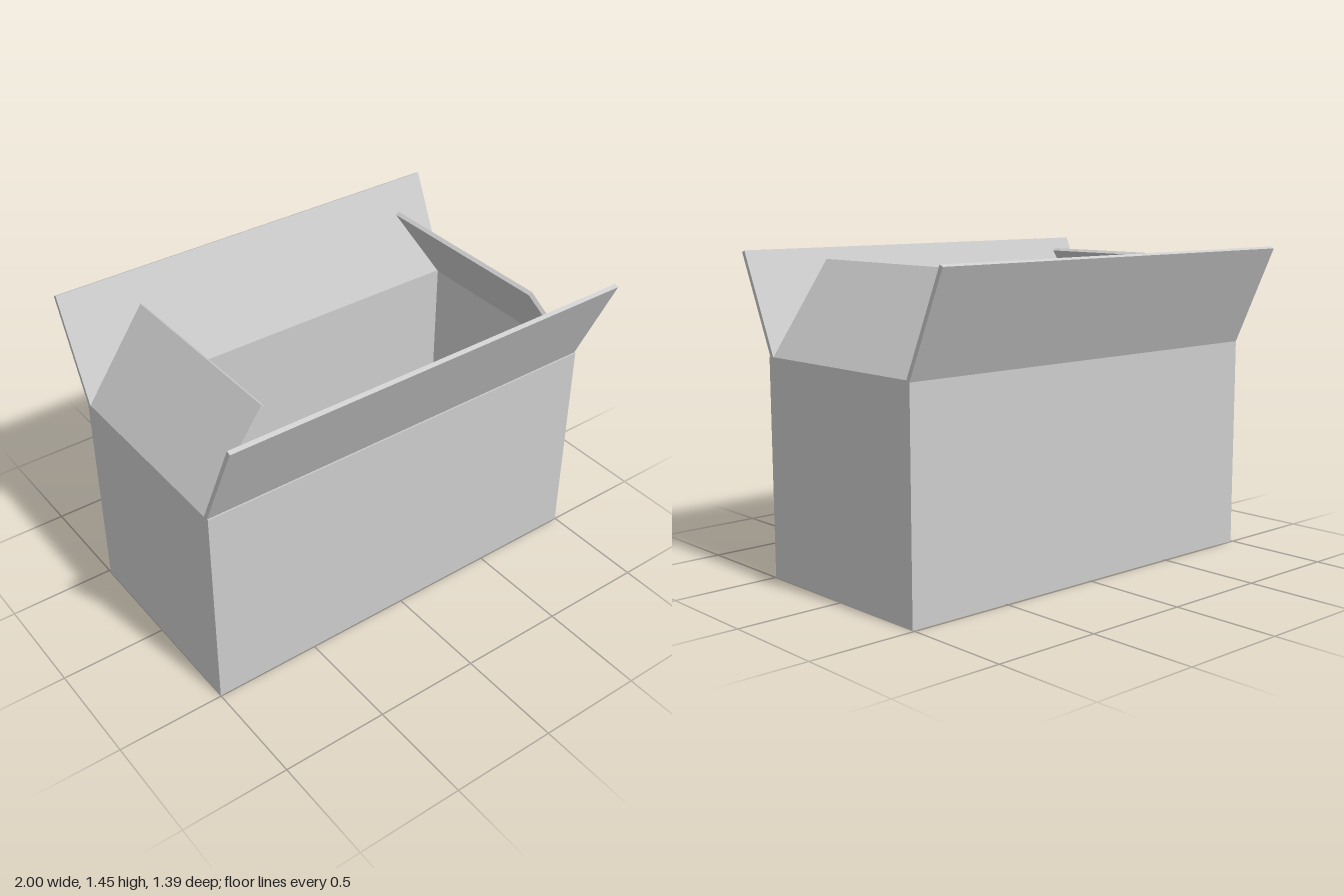
import * as THREE from 'three';

export function createModel() {
  const model = new THREE.Group();
  model.name = 'openBox';
  const cardboard = new THREE.MeshStandardMaterial({ color: 0xcccccc });
  cardboard.name = 'cardboard grey';

  const T = 0.02;       // board thickness
  const ZC = 0.005;     // body centre along z
  const D = 0.984;      // body depth

  // Box mesh; the offset moves the geometry away from its hinge
  const board = (name, size, position, offset = [0, 0, 0]) => {
    const geometry = new THREE.BoxGeometry(...size).translate(...offset);
    const mesh = new THREE.Mesh(geometry, cardboard);
    mesh.name = name;
    mesh.position.set(...position);
    model.add(mesh);
    return mesh;
  };

  // Floor between the four walls
  board('floor', [2 - 2 * T, T, D - 2 * T], [0, T / 2, ZC]);

  for (const s of [1, -1]) {
    const face = s > 0 ? 'front' : 'back';
    const side = s > 0 ? 'left' : 'right';

    // Walls
    board(face + 'Wall', [2, 1, T], [0, 0.5, ZC + s * (D - T) / 2]);
    board(side + 'Wall', [T, 1, D - 2 * T], [s * (1 - T / 2), 0.5, ZC]);

    // Long flaps lean outward from the front and back edges
    const longFlap = board(face + 'Flap', [2, 0.5, T], [0, 0.991, s * 0.486], [0, 0.25, -s * T / 2]);
    longFlap.rotation.x = s * 0.429;

    // Short flaps lean inward over the opening
    const shortFlap = board(side + 'Flap', [T, 0.506, 0.93], [s, 1, 0], [-s * T / 2, 0.253, 0]);
    shortFlap.rotation.z = s * 0.611;
  }
  return model;
}
